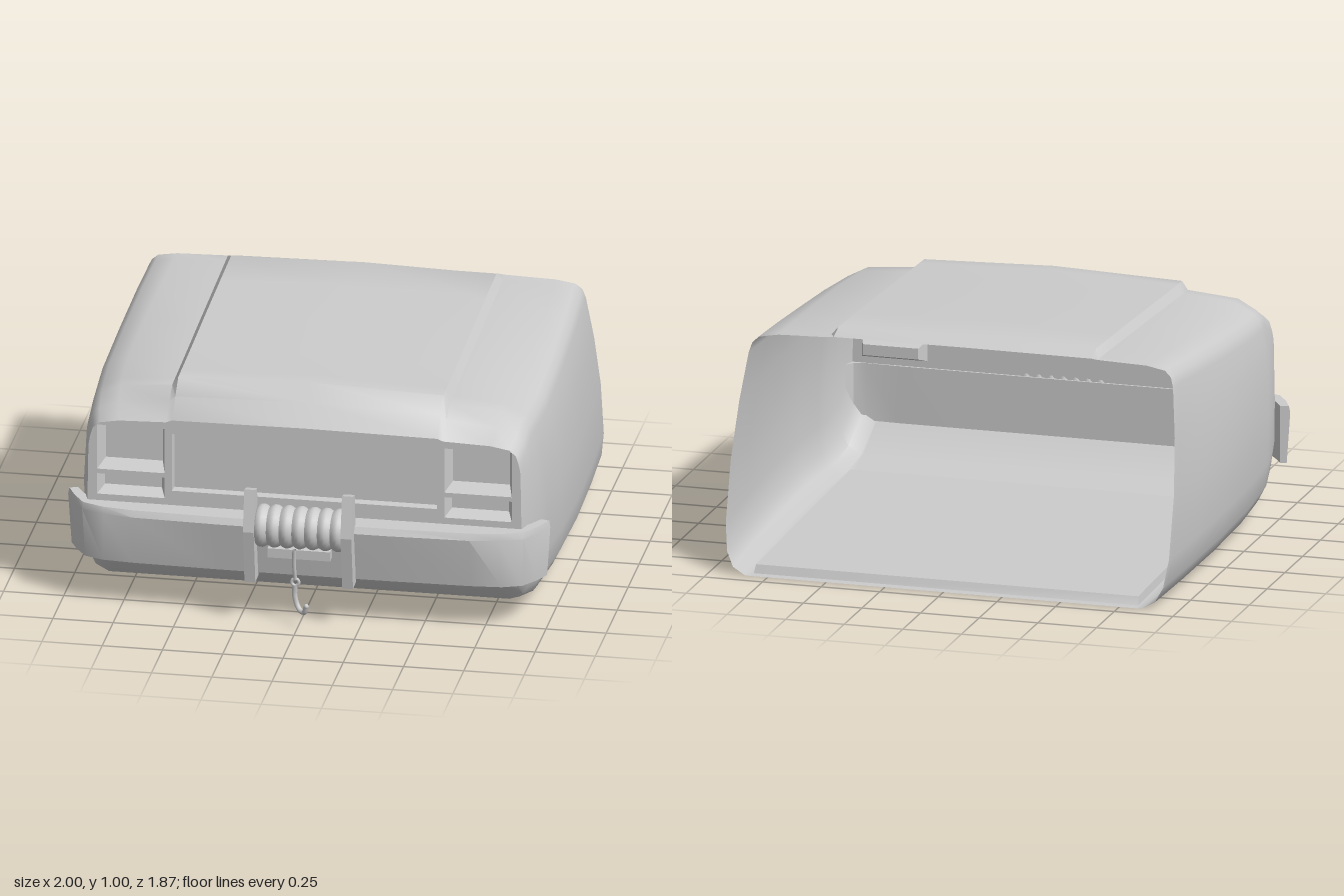
import * as THREE from 'three';
import { toCreasedNormals } from 'three/addons/utils/BufferGeometryUtils.js';

const mat = new THREE.MeshStandardMaterial({ color: 0xcccccc, side: THREE.DoubleSide });
const V = (x, y, z) => new THREE.Vector3(x, y, z);

function add(parent, name, geometry, x = 0, y = 0, z = 0) {
  const mesh = new THREE.Mesh(geometry, mat);
  mesh.name = name;
  mesh.position.set(x, y, z);
  parent.add(mesh);
  return mesh;
}

// Skin a list of closed rings, optionally capping both ends with a fan
function loft(rings, caps = false, crease = 0.7) {
  const n = rings[0].length, index = [];
  for (let r = 0; r < rings.length - 1; r++) {
    for (let i = 0; i < n; i++) {
      const j = (i + 1) % n, a = r * n + i, b = r * n + j;
      index.push(a, a + n, b, b, a + n, b + n);
    }
  }
  if (caps) {
    const last = (rings.length - 1) * n;
    for (let i = 1; i < n - 1; i++) index.push(0, i, i + 1, last, last + i + 1, last + i);
  }
  const g = new THREE.BufferGeometry().setFromPoints(rings.flat());
  g.setIndex(index);
  return toCreasedNormals(g, crease);
}

// Body stations: bottom z, bottom y, top z, top y, hood rise, floor rise, half width, top inset, fender drop
const stations = [
  [0.76, 0.20, 0.76, 0.80, 0.01, 0, 0.90, 0.01, 0.02],
  [0.65, 0.08, 0.68, 0.86, 0.025, 0, 0.93, 0.025, 0.05],
  [0.52, 0.04, 0.61, 0.907, 0.035, 0, 0.95, 0.04, 0.06],
  [0.45, 0.038, 0.54, 0.91, 0.035, 0, 0.957, 0.04, 0.06],
  [0.445, 0.038, 0.535, 0.91, 0.035, 0.035, 0.957, 0.04, 0.06],
  [0.2, 0.031, 0.33, 0.918, 0.034, 0.035, 0.973, 0.045, 0.055],
  [-0.2, 0.02, -0.01, 0.934, 0.033, 0.035, 0.975, 0.05, 0.045],
  [-0.6, 0.009, -0.36, 0.948, 0.032, 0.035, 0.962, 0.045, 0.03],
  [-0.887, 0.001, -0.60, 0.958, 0.03, 0.035, 0.947, 0.04, 0.02],
  [-0.89, 0.001, -0.605, 0.958, 0.028, 0, 0.947, 0.04, 0.02],
  [-0.93, 0, -0.66, 0.96, 0.003, 0, 0.945, 0.04, 0.02],
];

function bodyRing([zb, yb, zt, yt, h, f, w, inset, d]) {
  const t = w - inset;
  const half = [
    [0.55, yt + h], [0.575, yt], [t - 0.12, yt - 0.3 * d], [t - 0.04, yt - d],
    [t - 0.012, yt - d - 0.025], [t, yt - d - 0.065], [w - 0.4 * inset, 0.68], [w, 0.45],
    [w, yb + 0.2], [w - 0.015, yb + 0.09], [w - 0.045, yb + 0.03], [w - 0.1, yb],
    [0.82 * Math.min(1, (w - 0.1) / 0.82), yb], [0.815 * Math.min(1, (w - 0.1) / 0.82), yb + f],
  ];
  const at = (x, y) => V(x, y, THREE.MathUtils.lerp(zb, zt, (y - yb) / (yt - yb)));
  return [
    at(0, yt + 1.5 * h),
    ...half.map(([x, y]) => at(x, y)),
    ...half.map(([x, y]) => at(-x, y)).reverse(),
  ];
}

// Tapered recess behind a rectangular opening
function pocketGeometry([x0, x1, y0, y1, depth, taper], z) {
  const rect = (k, zz) => [V(x0 + k, y0 + k, zz), V(x1 - k, y0 + k, zz), V(x1 - k, y1 - k, zz), V(x0 + k, y1 - k, zz)];
  const back = rect(taper, z - depth);
  const c = V((x0 + x1) / 2, (y0 + y1) / 2, z - depth);
  return loft([rect(0, z), back, back.map(() => c)], false, 0.2);
}

export function createModel() {
  const model = new THREE.Group();
  model.name = 'vehicleFrontEnd';

  // Shell with raised hood and floor panel, open at the rear
  const rings = stations.map(bodyRing);
  add(model, 'bodyShell', loft(rings));

  // Front panel with openings for grille and lamps
  const pockets = [['grilleRecess', [-0.55, 0.55, 0.5, 0.75, 0.035, 0.004]]];
  for (const s of [1, -1]) {
    const side = s > 0 ? 'left' : 'right';
    const span = s > 0 ? [0.58, 0.86] : [-0.86, -0.58];
    pockets.push([side + 'Headlight', [...span, 0.575, 0.77, 0.08, 0.022]]);
    pockets.push([side + 'Indicator', [...span, 0.465, 0.555, 0.06, 0.022]]);
  }
  const outline = rings[0].filter((p, i, a) => i === 0 || p.distanceTo(a[i - 1]) > 0.01);
  const face = new THREE.Shape(outline.map((p) => new THREE.Vector2(p.x, p.y)));
  for (const [, [x0, x1, y0, y1]] of pockets) {
    face.holes.push(new THREE.Path([[x0, y0], [x0, y1], [x1, y1], [x1, y0]].map((p) => new THREE.Vector2(...p))));
  }
  add(model, 'frontPanel', new THREE.ShapeGeometry(face), 0, 0, 0.76);
  for (const [name, p] of pockets) add(model, name, pocketGeometry(p, 0.76));

  // Wraparound bumper: outer x, outer z, inner x, inner z
  const halfPath = [
    [0.35, 0.868, 0.35, 0.75], [0.7, 0.857, 0.7, 0.75], [0.82, 0.838, 0.84, 0.755],
    [0.915, 0.80, 0.89, 0.74], [0.965, 0.725, 0.93, 0.69], [1.0, 0.65, 0.96, 0.64],
  ];
  const path = [...halfPath.map(([a, b, c, d]) => [-a, b, -c, d]).reverse(), [0, 0.87, 0, 0.75], ...halfPath];
  add(model, 'bumper', loft(path.map(([ox, oz, ix, iz]) => {
    const mix = (k, y) => V(THREE.MathUtils.lerp(ox, ix, k), y, THREE.MathUtils.lerp(oz, iz, k));
    return [mix(0.35, 0.195), mix(0, 0.41), mix(0.12, 0.437), mix(1, 0.437), mix(1, 0.195)];
  }), true, 0.6));

  // Winch: side plates, coiled drum and mount
  const winch = new THREE.Group();
  winch.name = 'winch';
  model.add(winch);
  const plate = new THREE.Shape([[0.895, 0.585], [0.85, 0.575], [0.835, 0.45], [0.82, 0.18], [0.89, 0.175], [0.93, 0.41]]
    .map(([z, y]) => new THREE.Vector2(-z, y)));
  const plateGeometry = new THREE.ExtrudeGeometry(plate, { depth: 0.045, bevelEnabled: false });
  plateGeometry.rotateY(Math.PI / 2);
  add(winch, 'leftPlate', plateGeometry, 0.18);
  add(winch, 'rightPlate', plateGeometry, -0.225);

  const coils = 7, profile = [new THREE.Vector2(0.001, -0.185)];
  for (let i = 0; i < coils; i++) {
    for (let k = 0; k <= 5; k++) {
      profile.push(new THREE.Vector2(0.077 + 0.013 * Math.sin(Math.PI * k / 5), -0.185 + 0.37 * (i + k / 5) / coils));
    }
  }
  profile.push(new THREE.Vector2(0.001, 0.185));
  add(winch, 'drum', new THREE.LatheGeometry(profile, 24), 0, 0.41, 0.84).rotation.z = Math.PI / 2;
  add(winch, 'mount', new THREE.BoxGeometry(0.26, 0.04, 0.1), 0, 0.31, 0.84);

  // Cable and hook
  const tube = (pts, r) => new THREE.TubeGeometry(new THREE.CatmullRomCurve3(pts.map((p) => V(...p))), 24, r, 8);
  add(winch, 'cable', tube([[-0.015, 0.34, 0.91], [-0.018, 0.27, 0.9], [-0.015, 0.2, 0.888]], 0.008));
  add(winch, 'hookEye', new THREE.TorusGeometry(0.015, 0.007, 8, 16), -0.015, 0.188, 0.887);
  add(winch, 'hook', tube([[-0.016, 0.175, 0.886], [-0.018, 0.13, 0.884], [-0.008, 0.09, 0.887],
    [0.008, 0.069, 0.9], [0.028, 0.07, 0.917], [0.038, 0.1, 0.927]], 0.011));
  add(winch, 'hookTip', new THREE.SphereGeometry(0.011, 10, 8), 0.038, 0.1, 0.927);
  return model;
}
